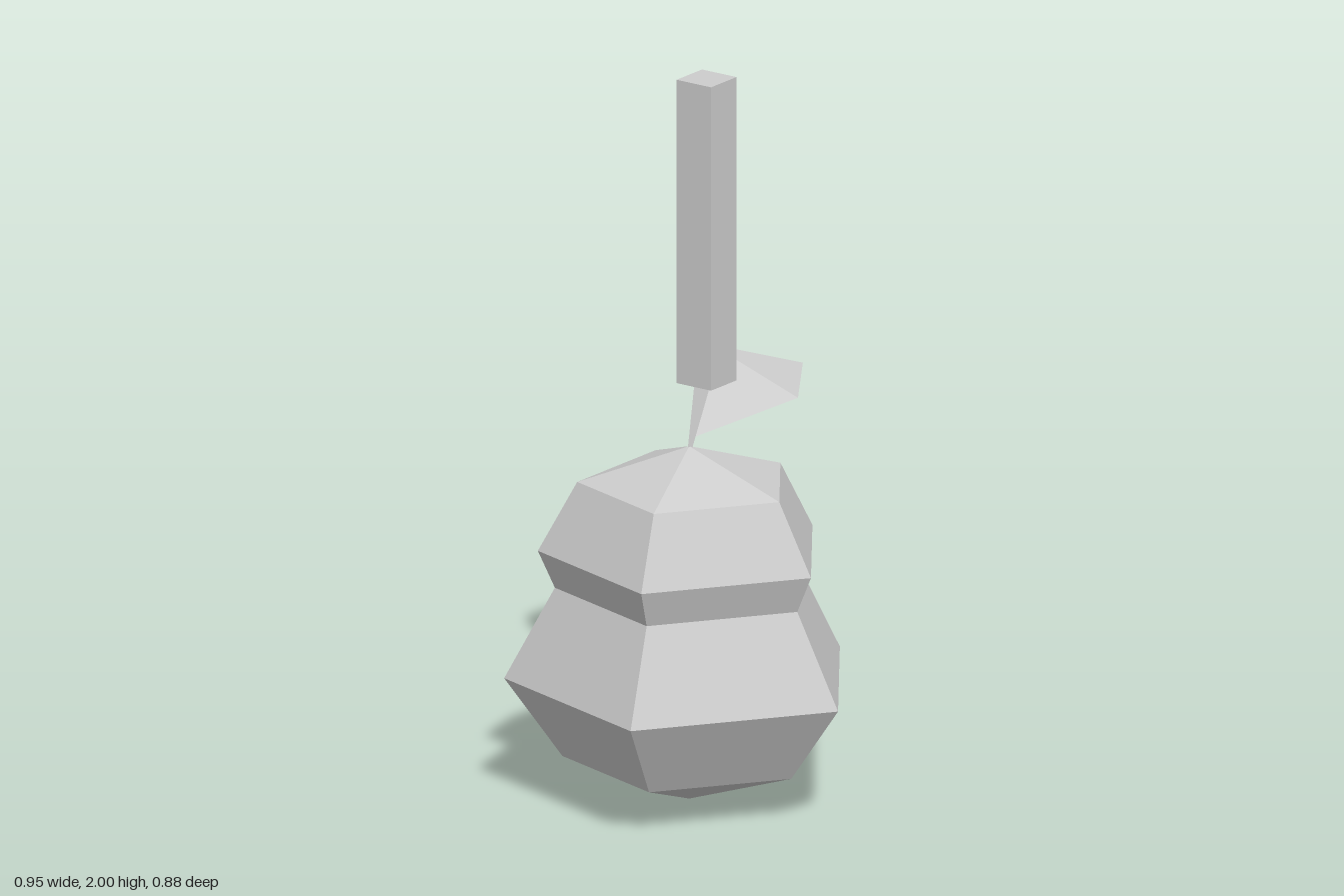
import * as THREE from 'three';

export function createModel() {
  const model = new THREE.Group();
  model.name = 'hangingGourd';
  const grey = new THREE.MeshStandardMaterial({ color: 0xcccccc, flatShading: true, side: THREE.DoubleSide });
  grey.name = 'light grey';

  const add = (name, geometry, x = 0, y = 0, z = 0) => {
    const mesh = new THREE.Mesh(geometry, grey);
    mesh.name = name;
    mesh.position.set(x, y, z);
    model.add(mesh);
    return mesh;
  };

  // Five-sided gourd body, one corner towards the front
  const profile = [[0, 0], [0.335, 0.117], [0.489, 0.332], [0.355, 0.583], [0.4, 0.685], [0.296, 0.876], [0, 0.976]]
    .map(([r, y]) => new THREE.Vector2(r, y));
  add('body', new THREE.LatheGeometry(profile, 5), -0.013, 0, -0.049);

  // Three-sided stem that widens upwards and leans to +x
  const stemHeight = 0.24;
  const stem = new THREE.CylinderGeometry(0.036, 0.007, stemHeight, 3);
  stem.rotateY(-Math.PI / 2); // point towards -x
  stem.translate(0, stemHeight / 2, 0);
  const p = stem.attributes.position;
  for (let i = 0; i < p.count; i++) p.setX(i, p.getX(i) + 0.07 * p.getY(i) / stemHeight);
  add('stem', stem, -0.013, 0.967, -0.049);

  // Leaf: two triangles folded along the middle edge
  const leaf = new THREE.BufferGeometry();
  leaf.setAttribute('position', new THREE.Float32BufferAttribute([
    0, 1.0, -0.04, // base
    0.285, 1.06, 0.088, // front corner
    0.195, 1.19, -0.13, // back corner
    0.473, 1.087, -0.035, // tip
  ], 3));
  leaf.setIndex([0, 1, 2, 1, 3, 2]);
  leaf.computeVertexNormals();
  add('leaf', leaf);

  // Square post above the stem
  add('post', new THREE.BoxGeometry(0.113, 0.84, 0.113), -0.001, 1.58, -0.001);

  return model;
}
